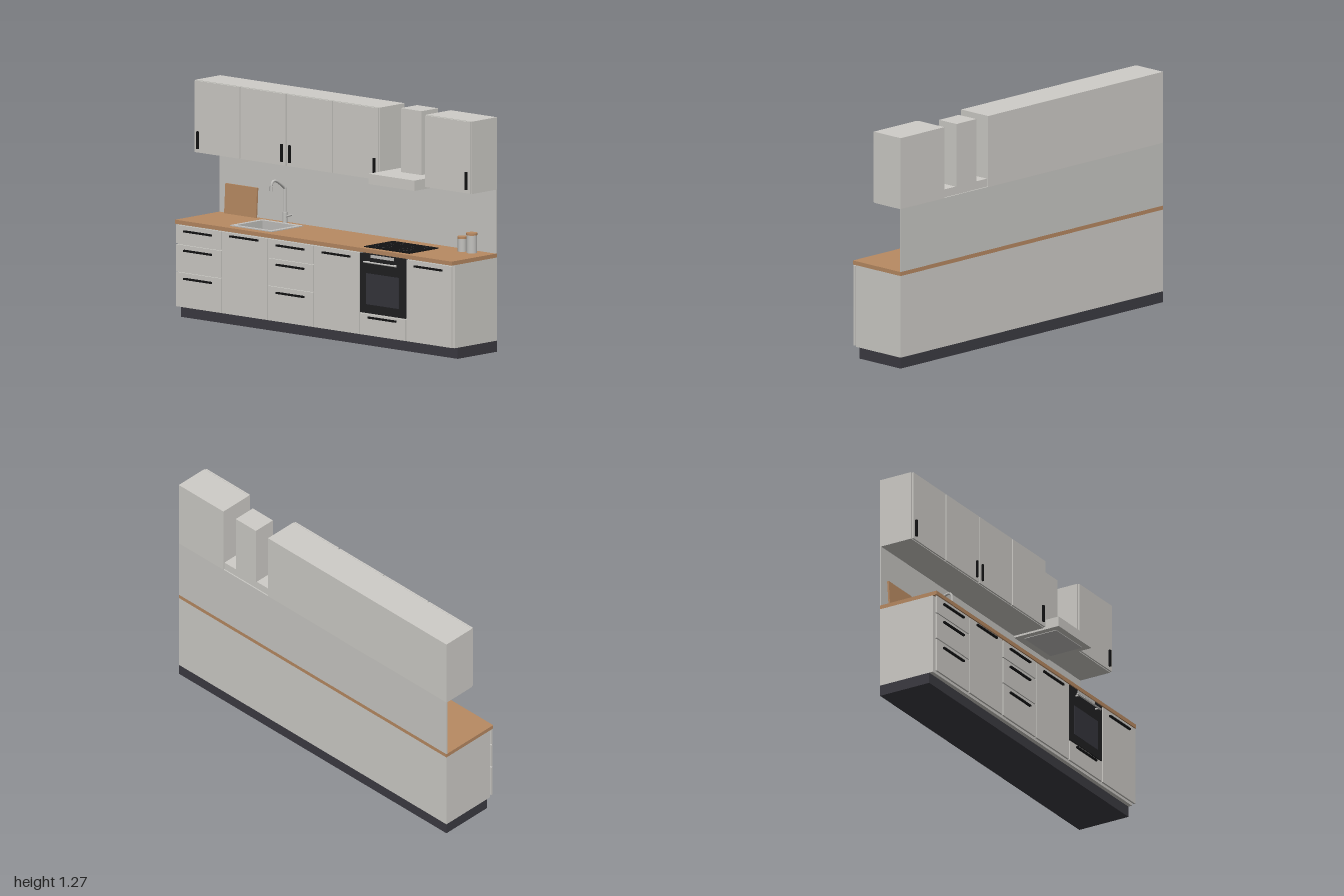
import * as THREE from 'three';

const mat = (name, color) => {
  const m = new THREE.MeshStandardMaterial({ color });
  m.name = name;
  return m;
};

export function createModel() {
  const root = new THREE.Group();
  root.name = 'kitchen';
  const cabinet = mat('cabinet grey', 0xcfcdc8);
  const splash = mat('backsplash grey', 0xc9c8c4);
  const wood = mat('wood', 0xb88a62);
  const plinthMat = mat('plinth charcoal', 0x3c3b42);
  const black = mat('black', 0x121213);
  const ovenMat = mat('oven black', 0x202022);
  const glass = mat('oven glass', 0x35353c);
  const steel = mat('steel', 0xc2c1be);
  const ringMat = mat('burner ring grey', 0x4a4a4c);

  const add = (name, geo, m, parent = root) => {
    const mesh = new THREE.Mesh(geo, m);
    mesh.name = name;
    parent.add(mesh);
    return mesh;
  };
  // Box given by its limits on each axis
  const box = (name, x0, x1, y0, y1, z0, z1, m, parent) => {
    const g = new THREE.BoxGeometry(x1 - x0, y1 - y0, z1 - z0);
    g.translate((x0 + x1) / 2, (y0 + y1) / 2, (z0 + z1) / 2);
    return add(name, g, m, parent);
  };
  // Horizontal slab with a rectangular hole
  const frame = (name, [x0, x1, z0, z1], [a0, a1, b0, b1], y0, y1, m, parent) => {
    const rect = (p, l, r, b, f) => p.moveTo(l, -f).lineTo(r, -f).lineTo(r, -b).lineTo(l, -b).closePath();
    const s = new THREE.Shape();
    rect(s, x0, x1, z0, z1);
    const h = new THREE.Path();
    rect(h, a0, a1, b0, b1);
    s.holes.push(h);
    const g = new THREE.ExtrudeGeometry(s, { depth: y1 - y0, bevelEnabled: false });
    g.rotateX(-Math.PI / 2).translate(0, y0, 0);
    return add(name, g, m, parent);
  };
  const cylinder = (name, r, y0, y1, x, z, m, parent) =>
    add(name, new THREE.CylinderGeometry(r, r, y1 - y0, 32).translate(x, (y0 + y1) / 2, z), m, parent);

  const W = 1 / 3, gap = 0.004, back = -0.19;
  const left = i => -1 + i * W;

  // Base cabinets
  box('plinth', -1, 1, 0, 0.06, back, 0.12, plinthMat);
  const baseFront = (g, i, y0, y1, handleY) => {
    const x = left(i), c = x + W / 2;
    box('front', x + gap, x + W - gap, y0, y1, 0.156, 0.166, cabinet, g);
    box('handle', c - 0.1, c + 0.1, handleY - 0.005, handleY + 0.005, 0.166, 0.177, black, g);
  };
  const drawers = [[0.064, 0.25, 0.22], [0.256, 0.4, 0.372], [0.406, 0.505, 0.477]];
  const fronts = [drawers, [[0.064, 0.505, 0.488]], drawers, [[0.064, 0.505, 0.477]],
    [[0.064, 0.178, 0.162]], [[0.064, 0.505, 0.477]]];
  fronts.forEach((list, i) => {
    const g = new THREE.Group();
    g.name = 'baseCabinet';
    root.add(g);
    const x = left(i);
    if (i === 1) {
      // The sink cabinet is hollow so the basin can hang inside
      frame('carcass', [x, x + W, back, 0.143], [x + 0.01, x + W - 0.01, back + 0.01, 0.117], 0.06, 0.51, cabinet, g);
    } else box('carcass', x, x + W, 0.06, 0.51, back, 0.143, cabinet, g);
    list.forEach(f => baseFront(g, i, ...f));
  });

  // Worktop and backsplash
  const hole = [-0.628, -0.368, -0.115, 0.1];
  frame('worktop', [-1, 1, back, 0.167], hole, 0.51, 0.532, wood);
  box('backsplash', -1, 1, 0.532, 0.88, back, -0.183, splash);

  // Sink
  const sink = new THREE.Group();
  sink.name = 'sink';
  root.add(sink);
  frame('rim', [-0.648, -0.348, -0.135, 0.118], [-0.622, -0.374, -0.109, 0.094], 0.53, 0.537, steel, sink);
  frame('basinWall', hole, [-0.622, -0.374, -0.109, 0.094], 0.43, 0.532, steel, sink);
  box('basinFloor', -0.628, -0.368, 0.425, 0.432, -0.115, 0.1, steel, sink);
  cylinder('drain', 0.018, 0.432, 0.435, -0.498, -0.01, glass, sink);

  // Tap
  const tap = new THREE.Group();
  tap.name = 'tap';
  root.add(tap);
  const tx = -0.502, tz = -0.157;
  cylinder('tapBase', 0.013, 0.53, 0.59, tx, tz, steel, tap);
  cylinder('tapColumn', 0.008, 0.59, 0.722, tx, tz, steel, tap);
  const path = new THREE.CatmullRomCurve3([[0.715, tz], [0.727, -0.147], [0.752, -0.112], [0.768, -0.08],
    [0.765, -0.059], [0.748, -0.051], [0.722, -0.05]].map(([y, z]) => new THREE.Vector3(tx, y, z)));
  add('spout', new THREE.TubeGeometry(path, 32, 0.007, 12), steel, tap);
  cylinder('nozzle', 0.009, 0.716, 0.74, tx, -0.05, steel, tap);
  const lever = add('lever', new THREE.CylinderGeometry(0.005, 0.005, 0.055, 12), steel, tap);
  lever.position.set(-0.473, 0.573, tz);
  lever.rotation.z = -1.25;

  // Hob with four burner rings
  const hob = new THREE.Group();
  hob.name = 'hob';
  root.add(hob);
  box('hobGlass', 0.336, 0.664, 0.531, 0.537, -0.095, 0.134, black, hob);
  [[0.42, -0.035, 0.035], [0.42, 0.075, 0.045], [0.58, -0.035, 0.045], [0.58, 0.075, 0.035]].forEach(([x, z, r]) =>
    add('burnerRing', new THREE.RingGeometry(r - 0.002, r, 40).rotateX(-Math.PI / 2).translate(x, 0.5375, z), ringMat, hob));

  // Oven
  const oven = new THREE.Group();
  oven.name = 'oven';
  root.add(oven);
  box('ovenFront', 0.337, 0.663, 0.184, 0.505, 0.143, 0.166, ovenMat, oven);
  box('ovenWindow', 0.38, 0.617, 0.232, 0.4, 0.166, 0.168, glass, oven);
  box('controlPanel', 0.415, 0.583, 0.487, 0.503, 0.166, 0.17, steel, oven);
  add('ovenHandle', new THREE.CylinderGeometry(0.005, 0.005, 0.235, 16).rotateZ(Math.PI / 2).translate(0.498, 0.464, 0.187), steel, oven);
  for (const x of [0.4, 0.596]) box('handlePost', x - 0.004, x + 0.004, 0.46, 0.468, 0.166, 0.187, steel, oven);

  // Wall cabinets; the number is the handle's x
  [[0, -0.971], [1, -0.362], [2, -0.306], [3, 0.304], [5, 0.97]].forEach(([i, hx]) => {
    const g = new THREE.Group();
    g.name = 'wallCabinet';
    root.add(g);
    const x = left(i);
    box('carcass', x, x + W, 0.878, 1.27, back, 0.005, cabinet, g);
    box('door', x + gap, x + W - gap, 0.88, 1.268, 0.008, 0.017, cabinet, g);
    box('handle', hx - 0.006, hx + 0.006, 0.9, 0.995, 0.017, 0.027, black, g);
  });

  // Extractor hood
  const hood = new THREE.Group();
  hood.name = 'extractorHood';
  root.add(hood);
  box('hoodBody', 0.335, 0.665, 0.868, 0.924, -0.183, 0.097, cabinet, hood);
  box('chimney', 0.424, 0.574, 0.924, 1.27, back, -0.06, cabinet, hood);
  box('filter', 0.37, 0.63, 0.865, 0.868, -0.14, 0.06, steel, hood);

  // Chopping board leaning on the wall
  const board = add('choppingBoard', new THREE.BoxGeometry(0.23, 0.162, 0.01), wood);
  board.position.set(-0.83, 0.613, -0.17);
  board.rotation.x = -0.06;

  // Storage jars with wooden lids
  [[0.813, 0.026, 0.613], [0.882, 0.031, 0.64]].forEach(([x, r, top]) => {
    const g = new THREE.Group();
    g.name = 'storageJar';
    root.add(g);
    cylinder('jar', r - 0.002, 0.532, top - 0.012, x, -0.12, steel, g);
    cylinder('lid', r, top - 0.012, top, x, -0.12, wood, g);
  });

  return root;
}
